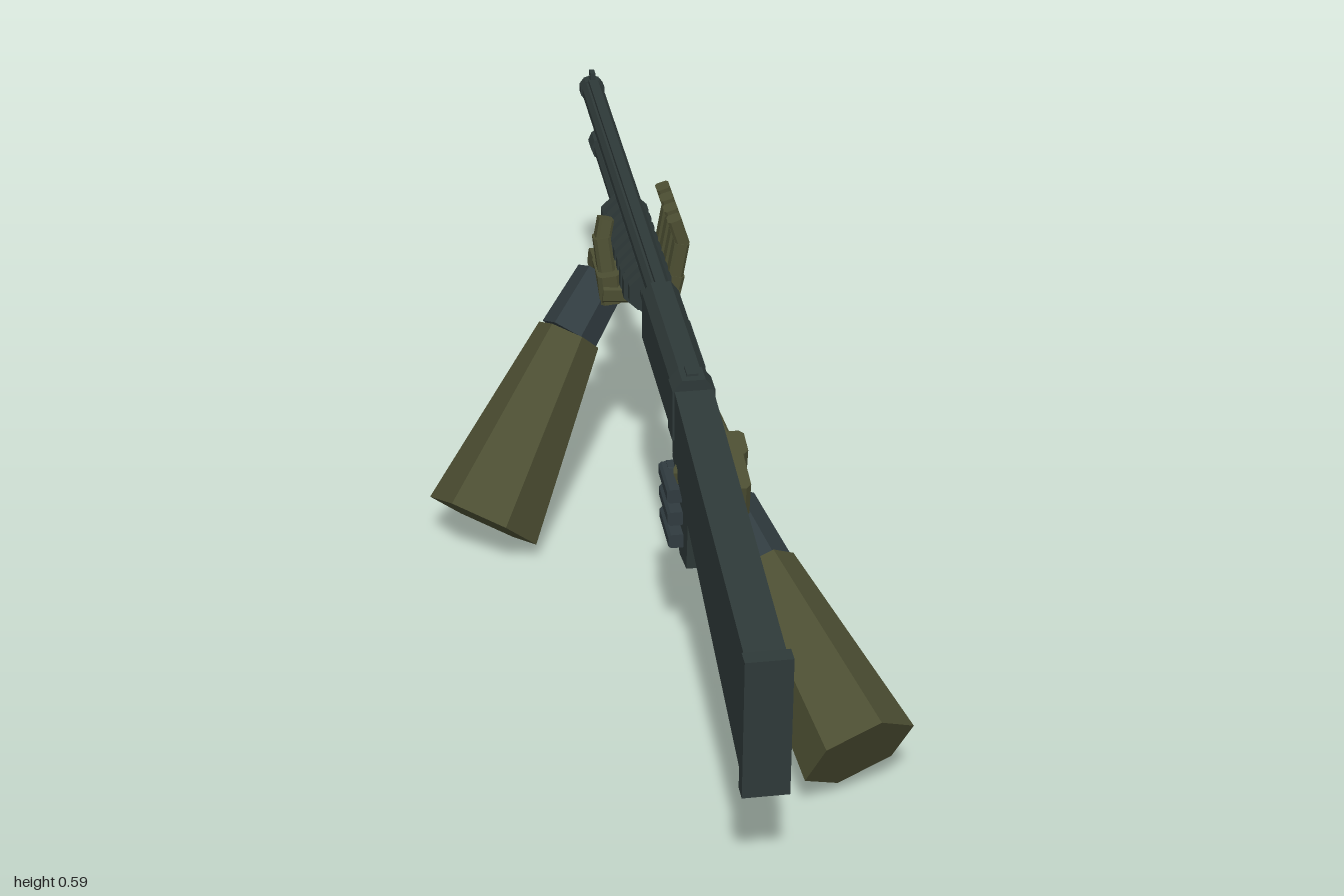
import * as THREE from 'three';

const GX = 0.063; // gun centre line

function material(name, color) {
  const m = new THREE.MeshStandardMaterial({ color });
  m.name = name;
  m.flatShading = true;
  return m;
}

export function createModel() {
  const root = new THREE.Group();
  const gunmetal = material('gunmetal', 0x2e3938);
  const slate = material('slate glove', 0x303b3f);
  const olive = material('olive cloth', 0x4c4e32);
  const dark = material('dark steel', 0x2a272e);
  const gun = new THREE.Group(); gun.name = 'gun'; root.add(gun);

  const add = (parent, name, geo, mat) => {
    const m = new THREE.Mesh(geo, mat);
    m.name = name;
    parent.add(m);
    return m;
  };
  // Box from min/max ranges
  const box = (parent, name, mat, x, y, z) => {
    const g = new THREE.BoxGeometry(x[1] - x[0], y[1] - y[0], z[1] - z[0]);
    g.translate((x[0] + x[1]) / 2, (y[0] + y[1]) / 2, (z[0] + z[1]) / 2);
    return add(parent, name, g, mat);
  };
  // Places a y-aligned geometry between two points; hint fixes its local z
  const between = (parent, name, geo, mat, a, b, hint) => {
    const A = new THREE.Vector3(...a), B = new THREE.Vector3(...b);
    const y = B.clone().sub(A).normalize();
    const z = new THREE.Vector3(...hint);
    z.addScaledVector(y, -z.dot(y)).normalize();
    const x = y.clone().cross(z);
    const m = add(parent, name, geo, mat);
    m.quaternion.setFromRotationMatrix(new THREE.Matrix4().makeBasis(x, y, z));
    m.position.copy(A).add(B).multiplyScalar(0.5);
    return m;
  };
  const dist = (a, b) => Math.hypot(a[0] - b[0], a[1] - b[1], a[2] - b[2]);
  const tube = (parent, name, mat, a, b, ra, rb, sides, hint = [0, 1, 0]) =>
    between(parent, name, new THREE.CylinderGeometry(rb, ra, dist(a, b), sides), mat, a, b, hint);
  // Chamfered finger or palm block
  const segment = (parent, name, mat, a, b, w, d, hint = [0, 0, 1]) => {
    const c = Math.min(w, d) * 0.18, s = new THREE.Shape();
    s.moveTo(-w / 2 + c, -d / 2); s.lineTo(w / 2 - c, -d / 2); s.lineTo(w / 2, -d / 2 + c);
    s.lineTo(w / 2, d / 2 - c); s.lineTo(w / 2 - c, d / 2); s.lineTo(-w / 2 + c, d / 2);
    s.lineTo(-w / 2, d / 2 - c); s.lineTo(-w / 2, -d / 2 + c);
    const g = new THREE.ExtrudeGeometry(s, { depth: dist(a, b), bevelEnabled: false });
    g.translate(0, 0, -dist(a, b) / 2).rotateX(-Math.PI / 2);
    return between(parent, name, g, mat, a, b, hint);
  };
  // Side profile given as [z, y], extruded across x
  const profile = (name, mat, pts, width) => {
    const s = new THREE.Shape(pts.map(([z, y]) => new THREE.Vector2(-z, y)));
    const g = new THREE.ExtrudeGeometry(s, { depth: width, bevelEnabled: false });
    g.translate(0, 0, -width / 2).rotateY(Math.PI / 2).translate(GX, 0, 0);
    return add(gun, name, g, mat);
  };

  // Stock, butt plate and grip
  profile('stock', gunmetal, [[0.975, 0.465], [0.975, 0.235], [0.43, 0.375], [0.28, 0.41], [0.28, 0.548]], 0.066);
  box(gun, 'buttPlate', gunmetal, [0.025, 0.101], [0.223, 0.475], [0.972, 1]);
  profile('grip', gunmetal, [[0.4, 0.4], [0.385, 0.25], [0.31, 0.235], [0.26, 0.4], [0.24, 0.46], [0.36, 0.46]], 0.05);

  // Receiver with a chamfered top
  const receiver = (name, half, top, z0, z1) => {
    const s = new THREE.Shape([[-half, 0.452], [half, 0.452], [half, top - 0.02],
      [half * 0.55, top], [-half * 0.55, top], [-half, top - 0.02]].map(p => new THREE.Vector2(...p)));
    const g = new THREE.ExtrudeGeometry(s, { depth: z1 - z0, bevelEnabled: false });
    add(gun, name, g.translate(GX, 0, z0), gunmetal);
  };
  receiver('receiver', 0.033, 0.562, -0.075, 0.27);
  receiver('receiverCap', 0.0365, 0.566, 0.25, 0.295);
  box(gun, 'receiverBelly', gunmetal, [0.034, 0.092], [0.405, 0.47], [0.25, 0.29]);
  box(gun, 'ejectionPort', gunmetal, [0.094, 0.099], [0.493, 0.537], [0.03, 0.2]);

  // Barrel, magazine tube and fittings
  tube(gun, 'barrel', gunmetal, [GX, 0.535, -0.07], [GX, 0.535, -0.995], 0.022, 0.022, 10);
  tube(gun, 'muzzleRing', gunmetal, [GX, 0.535, -0.975], [GX, 0.535, -1], 0.025, 0.025, 10);
  box(gun, 'barrelRib', gunmetal, [GX - 0.009, GX + 0.009], [0.55, 0.562], [-0.97, -0.07]);
  box(gun, 'frontSight', gunmetal, [GX - 0.005, GX + 0.005], [0.555, 0.576], [-0.99, -0.97]);
  box(gun, 'rearSight', gunmetal, [GX - 0.01, GX + 0.01], [0.56, 0.57], [0.25, 0.28]);
  tube(gun, 'magazineTube', gunmetal, [GX, 0.474, -0.07], [GX, 0.474, -0.885], 0.018, 0.018, 10);
  tube(gun, 'magazineCap', gunmetal, [GX, 0.476, -0.825], [GX, 0.476, -0.87], 0.024, 0.024, 8);
  box(gun, 'barrelClamp', gunmetal, [GX - 0.01, GX + 0.01], [0.48, 0.53], [-0.86, -0.83]);

  // Ribbed pump
  tube(gun, 'pump', gunmetal, [GX, 0.472, -0.205], [GX, 0.472, -0.545], 0.04, 0.04, 8, [0.41, 1, 0]);
  for (let i = 0; i < 8; i++) {
    const z = -0.225 - i * 0.041;
    tube(gun, 'pumpRib', gunmetal, [GX, 0.472, z], [GX, 0.472, z - 0.022], 0.048, 0.048, 8, [0.41, 1, 0]);
  }

  // Trigger and guard
  box(gun, 'guardBottom', dark, [GX - 0.012, GX + 0.012], [0.383, 0.391], [0.103, 0.26]);
  box(gun, 'guardFront', dark, [GX - 0.012, GX + 0.012], [0.383, 0.455], [0.103, 0.111]);
  segment(gun, 'trigger', dark, [GX, 0.46, 0.18], [GX, 0.4, 0.165], 0.012, 0.012);

  // Forearms: flared sleeve plus wrist
  const arm = (name, start, end, wrist, r, hint) => {
    const g = new THREE.Group(); g.name = name; root.add(g);
    tube(g, 'sleeve', olive, end, start, r, 0.061, 6, hint);
    tube(g, 'wrist', slate, start, wrist, 0.056, 0.05, 6, hint);
    return g;
  };
  const front = arm('supportArm', [-0.075, 0.345, -0.3], [-0.262, 0.064, -0.118], [-0.004, 0.43, -0.36], 0.109, [-0.1, 0.035, -0.046]);
  const rear = arm('triggerArm', [0.155, 0.28, 0.45], [0.266, 0.106, 0.755], [0.115, 0.345, 0.345], 0.1, [0.092, 0.037, -0.013]);

  // Support hand cupping the pump
  segment(front, 'palm', olive, [-0.015, 0.433, -0.365], [0.13, 0.42, -0.37], 0.034, 0.17);
  segment(front, 'thumbBase', olive, [0.005, 0.41, -0.33], [0.0, 0.468, -0.33], 0.042, 0.09);
  segment(front, 'thumbMiddle', olive, [0.0, 0.46, -0.325], [-0.008, 0.53, -0.335], 0.032, 0.04);
  segment(front, 'thumbTip', olive, [-0.008, 0.515, -0.335], [0.002, 0.561, -0.345], 0.028, 0.036);
  for (let i = 0; i < 4; i++) {
    const z = -0.302 - i * 0.046;
    segment(front, 'fingerBase', olive, [0.115, 0.415, z], [0.125, 0.46, z], 0.036, 0.036);
    segment(front, 'fingerMiddle', olive, [0.124, 0.45, z], [0.137, 0.525, z], 0.028, 0.034);
    segment(front, 'fingerTip', olive, [0.139, 0.522, z], [0.123, 0.573, z], 0.026, 0.032);
  }

  // Trigger hand on the grip
  segment(rear, 'palm', olive, [0.115, 0.275, 0.325], [0.115, 0.44, 0.355], 0.052, 0.145);
  segment(rear, 'knuckles', olive, [0.13, 0.29, 0.275], [0.13, 0.445, 0.305], 0.044, 0.06);
  segment(rear, 'indexBase', olive, [0.122, 0.42, 0.29], [0.113, 0.428, 0.19], 0.028, 0.034, [0, 1, 0]);
  segment(rear, 'indexTip', olive, [0.113, 0.426, 0.2], [0.1, 0.434, 0.105], 0.024, 0.028, [0, 1, 0]);
  segment(rear, 'thumb', olive, [0.11, 0.425, 0.36], [0.035, 0.4, 0.315], 0.035, 0.035);
  for (let i = 0; i < 3; i++) {
    const y = 0.365 - i * 0.04, z = 0.25 + i * 0.008;
    segment(rear, 'fingerFront', slate, [0.13, y, z], [0.025, y, z], 0.03, 0.035);
    segment(rear, 'fingerTip', slate, [0.027, y, z - 0.012], [0.027, y, z + 0.085], 0.03, 0.026, [0, 1, 0].reverse());
  }
  return root;
}
